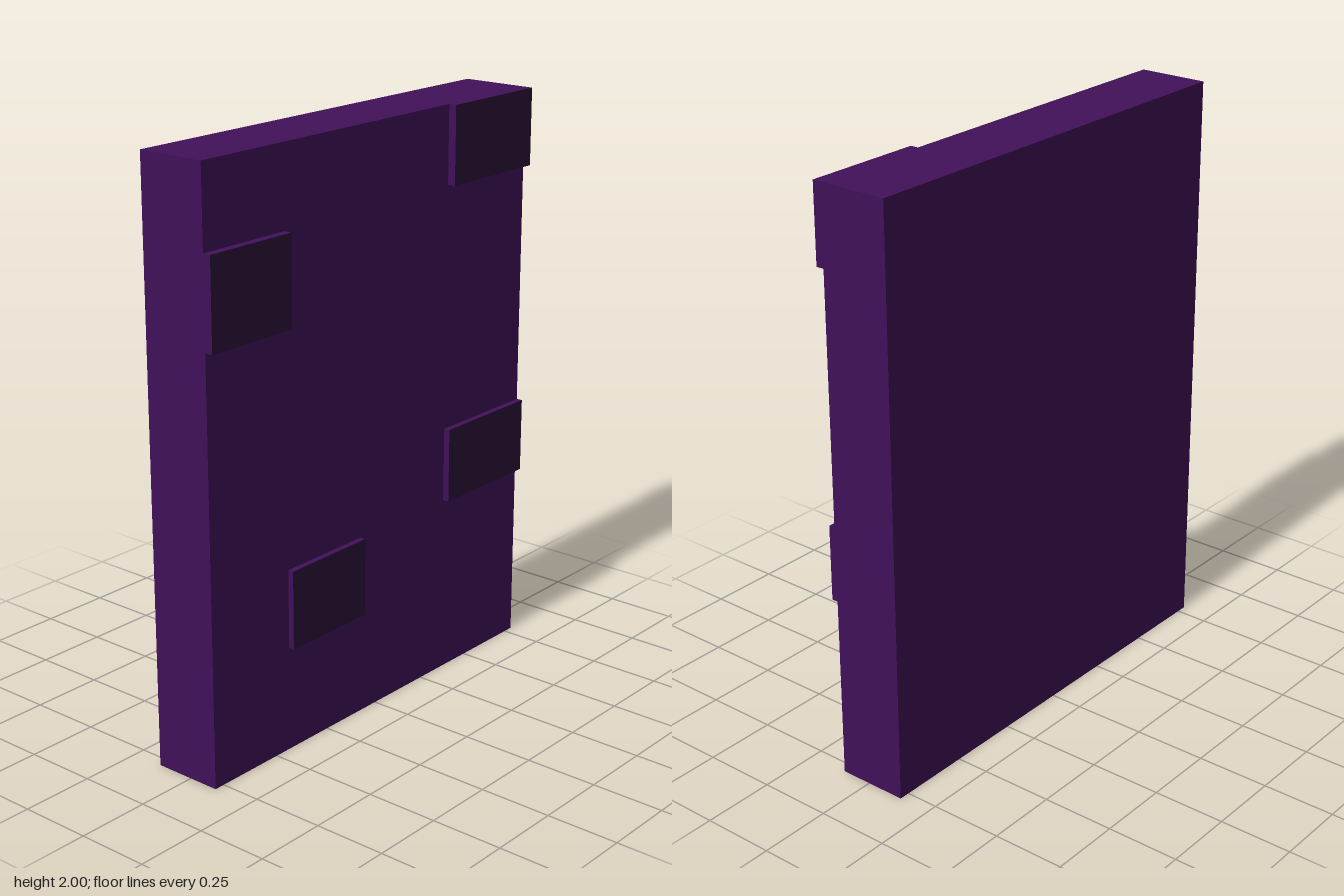
import * as THREE from 'three';

export function createModel() {
  const group = new THREE.Group();
  const purple = new THREE.MeshStandardMaterial({ color: 0x41115a });
  const dark = new THREE.MeshStandardMaterial({ color: 0x2e143b });

  // Box given by its limits on each axis
  function addBox(name, [x0, x1], [y0, y1], [z0, z1], material) {
    const mesh = new THREE.Mesh(new THREE.BoxGeometry(x1 - x0, y1 - y0, z1 - z0), material);
    mesh.position.set((x0 + x1) / 2, (y0 + y1) / 2, (z0 + z1) / 2);
    mesh.name = name;
    group.add(mesh);
  }

  // Wall slab
  const face = 0.108;
  addBox('wallSlab', [-0.136, face], [0, 2], [-0.787, 0.787], purple);

  // Raised bricks: purple edges, dark outer face (+x)
  const brickMaterials = [dark, purple, purple, purple, purple, purple];
  const bricks = [
    ['upperBackBrick', 0.136, [1.735, 2], [-0.787, -0.366]],
    ['upperFrontBrick', 0.136, [1.43, 1.73], [0.437, 0.787]],
    ['lowerBackBrick', 0.13, [0.63, 0.89], [-0.787, -0.366]],
    ['lowerFrontBrick', 0.128, [0.36, 0.63], [0.078, 0.435]],
  ];
  for (const [name, outer, y, z] of bricks) addBox(name, [face, outer], y, z, brickMaterials);

  return group;
}
